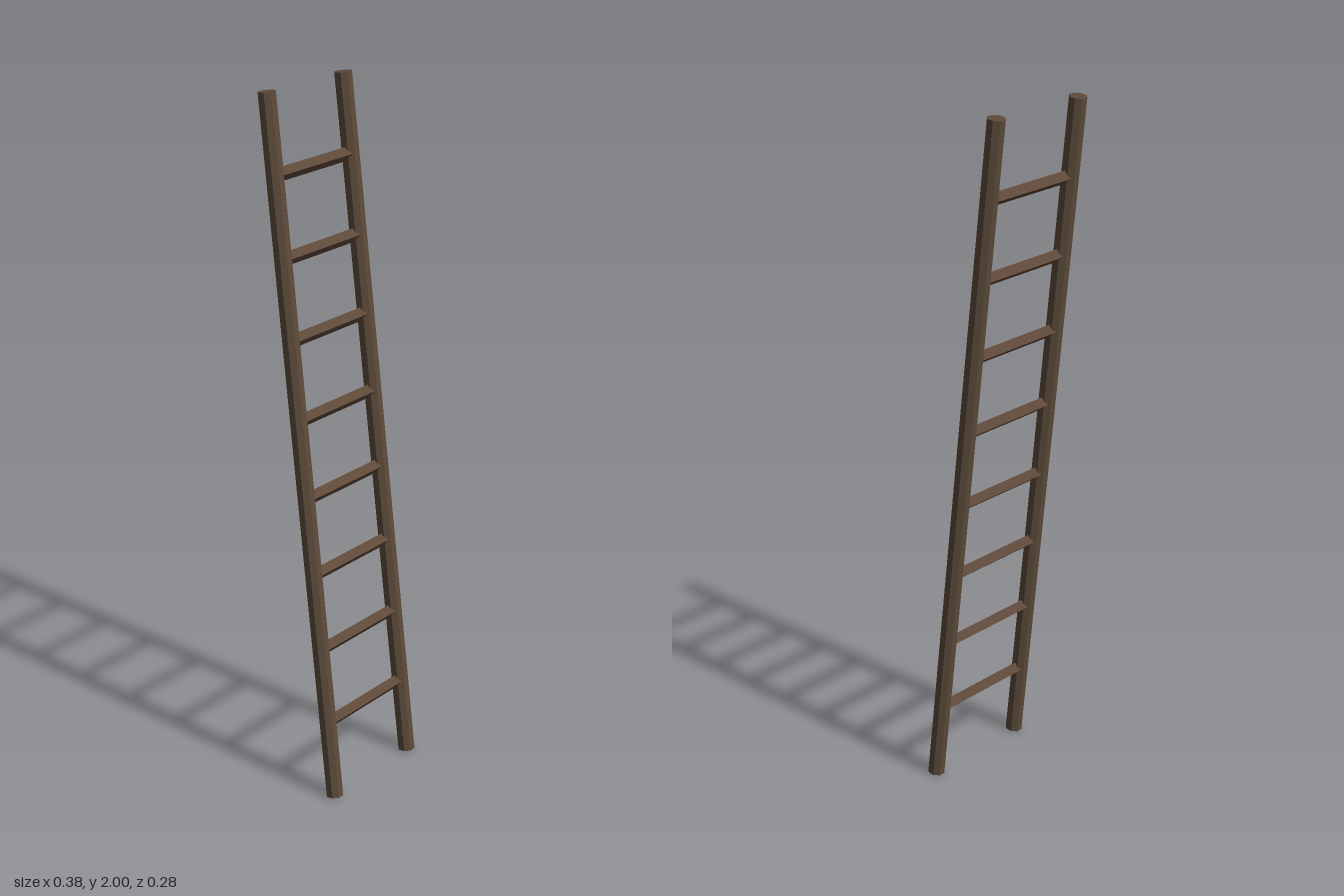
import * as THREE from 'three';

const railWood = new THREE.MeshStandardMaterial({ color: 0x5c4a3a });
railWood.name = 'rail wood';
const rungWood = new THREE.MeshStandardMaterial({ color: 0x5e4838 });
rungWood.name = 'rung wood';

// Faceted prism running along +y from the origin's centre
function prism(radius, length, sides, turn) {
  const g = new THREE.CylinderGeometry(radius, radius, length, sides, 1, false, turn).toNonIndexed();
  g.computeVertexNormals();
  return g;
}

export function createModel() {
  const ladder = new THREE.Group();
  ladder.name = 'ladder';

  const topZ = -0.117, footZ = 0.117;
  const topX = 0.154, footX = 0.167;
  const topY = 1.997, footY = 0.003;
  const lean = Math.atan2(topZ - footZ, topY - footY);

  // Octagonal side rails, leaning back and closing in slightly towards the top
  for (const side of [-1, 1]) {
    const foot = new THREE.Vector3(side * footX, footY, footZ);
    const top = new THREE.Vector3(side * topX, topY, topZ);
    const axis = top.clone().sub(foot);
    const rail = new THREE.Mesh(prism(0.025, axis.length(), 8, Math.PI / 8), railWood);
    rail.name = side > 0 ? 'leftRail' : 'rightRail';
    rail.position.copy(foot).add(top).multiplyScalar(0.5);
    rail.quaternion.setFromUnitVectors(new THREE.Vector3(0, 1, 0), axis.normalize());
    ladder.add(rail);
  }

  // Eight square rungs set edge-up, each ending inside the rails
  const count = 8;
  for (let i = 1; i <= count; i++) {
    const t = i / (count + 1);
    const halfSpan = THREE.MathUtils.lerp(footX, topX, t);
    const geometry = prism(0.019, halfSpan * 2, 4, 0).rotateZ(Math.PI / 2).rotateX(lean);
    const rung = new THREE.Mesh(geometry, rungWood);
    rung.name = 'rung' + i;
    rung.position.set(0, THREE.MathUtils.lerp(footY, topY, t) + 0.004, THREE.MathUtils.lerp(footZ, topZ, t));
    ladder.add(rung);
  }

  return ladder;
}
